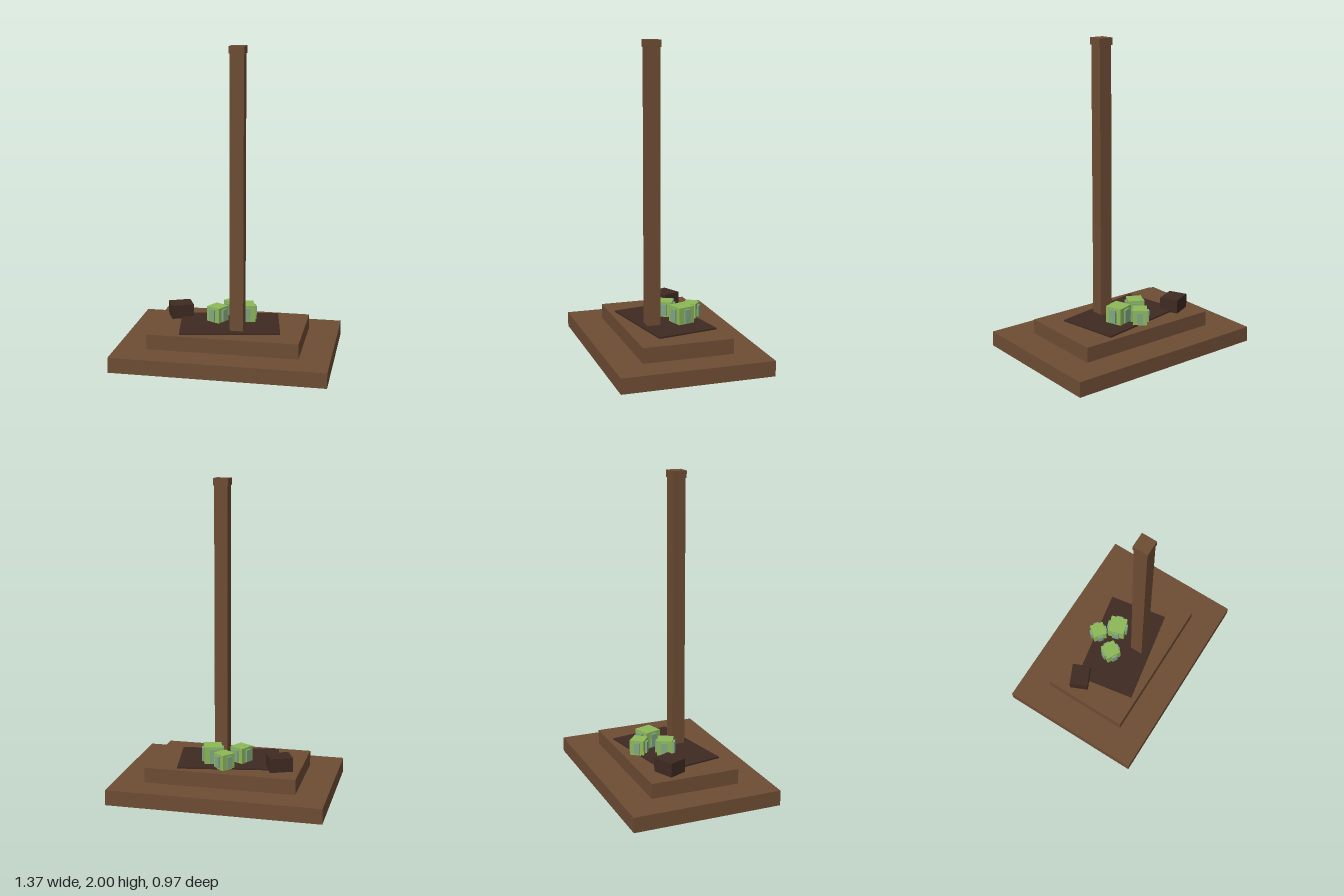
import * as THREE from 'three';

const mat = (name, color) => {
  const m = new THREE.MeshStandardMaterial({ color });
  m.name = name;
  return m;
};

export function createModel() {
  const wood = mat('brown wood', 0x6d4c33);
  const dark = mat('dark wood', 0x3e2a22);
  const green = mat('leaf green', 0x8db858);
  const sage = mat('sage green', 0x81a784);
  const model = new THREE.Group();
  model.name = 'postOnPlinth';

  // Box resting on height y0, reaching y1, turned about the vertical
  const box = (parent, name, material, w, d, y0, y1, x = 0, z = 0, deg = 0) => {
    const mesh = new THREE.Mesh(new THREE.BoxGeometry(w, y1 - y0, d), material);
    mesh.name = name;
    mesh.position.set(x, (y0 + y1) / 2, z);
    mesh.rotation.y = THREE.MathUtils.degToRad(deg);
    parent.add(mesh);
    return mesh;
  };

  // Stepped plinth
  box(model, 'lowerStep', wood, 1.365, 0.97, 0, 0.098);
  box(model, 'upperStep', wood, 0.97, 0.583, 0.098, 0.195);

  // Turned mat and loose block
  box(model, 'mat', dark, 0.64, 0.407, 0.195, 0.205, 0, 0, 10);
  box(model, 'block', dark, 0.145, 0.124, 0.195, 0.285, -0.352, -0.118, 24);

  // Post with a cap
  box(model, 'post', wood, 0.087, 0.087, 0.195, 1.96, 0.07, 0.105);
  box(model, 'postCap', wood, 0.097, 0.097, 1.955, 2, 0.07, 0.105);

  // Green bundles: a cube with one raised panel on each side
  const bundles = [
    [-0.01, -0.187, 0.092, 0.3, 51],
    [0.088, -0.088, 0.115, 0.314, 17.5],
    [-0.088, -0.036, 0.1, 0.304, -28.5],
  ];
  for (const [x, z, size, top, deg] of bundles) {
    const bundle = new THREE.Group();
    bundle.name = 'greenBundle';
    bundle.position.set(x, 0, z);
    bundle.rotation.y = THREE.MathUtils.degToRad(deg);
    box(bundle, 'bundleCore', green, size, size, 0.2, top);
    for (let i = 0; i < 4; i++) {
      const a = (i * Math.PI) / 2;
      const r = size / 2 + 0.002;
      box(bundle, 'sidePanel', sage, size * 0.4, 0.022, 0.213, top - 0.013,
        Math.sin(a) * r, Math.cos(a) * r, i * 90);
    }
    model.add(bundle);
  }
  return model;
}
